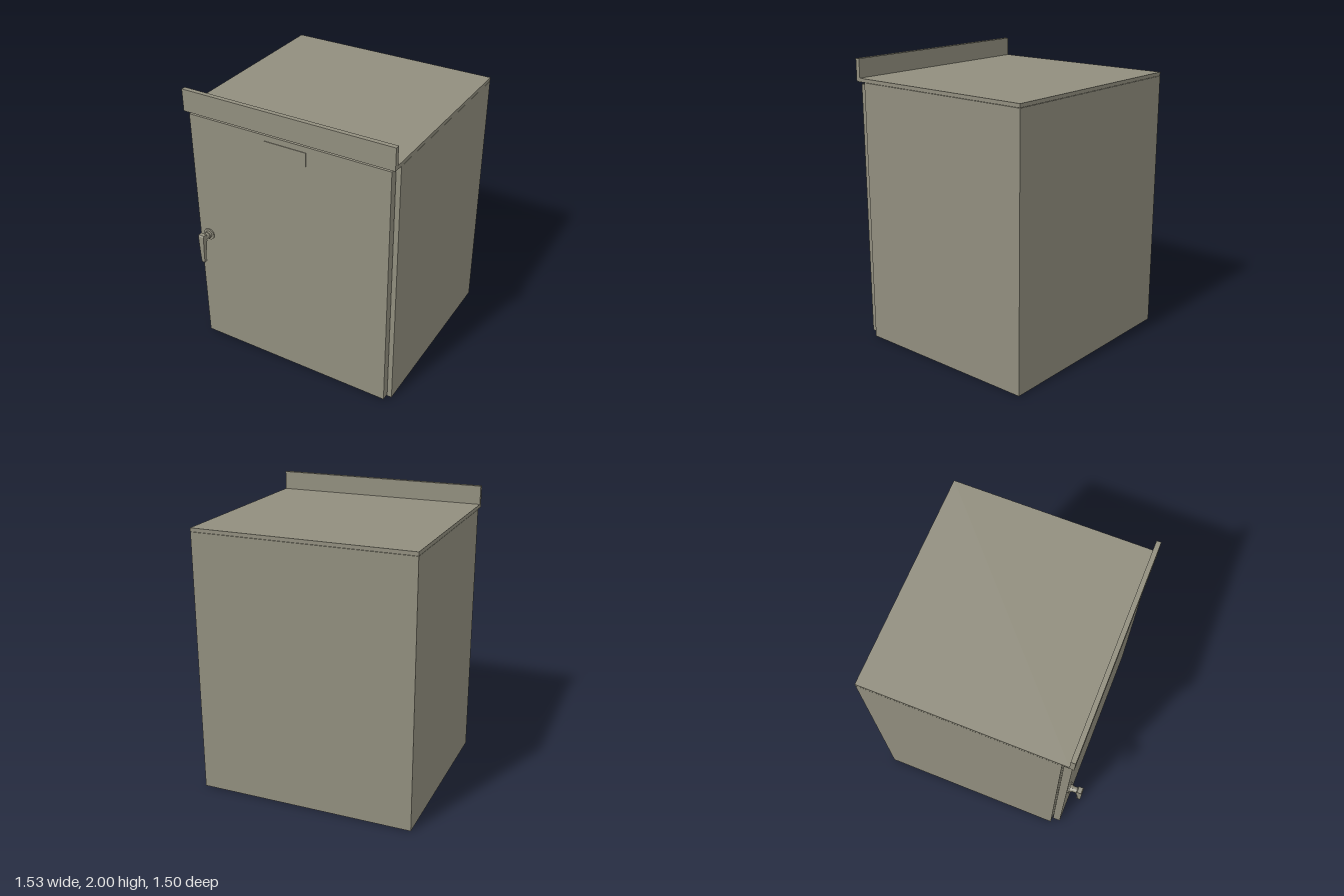
import * as THREE from 'three';

export function createModel() {
  const model = new THREE.Group();
  model.name = 'cabinet';
  const paint = new THREE.MeshStandardMaterial({ color: 0x918e7e });
  paint.name = 'greyPaint';

  function add(name, geometry, parent = model) {
    const mesh = new THREE.Mesh(geometry, paint);
    mesh.name = name;
    parent.add(mesh);
    return mesh;
  }

  // Box given by its minimum and maximum corners
  function box(name, [x0, y0, z0], [x1, y1, z1]) {
    const mesh = add(name, new THREE.BoxGeometry(x1 - x0, y1 - y0, z1 - z0));
    mesh.position.set((x0 + x1) / 2, (y0 + y1) / 2, (z0 + z1) / 2);
  }

  // Side profile of [z, y] points, extruded across x and centred
  function sideExtrude(points, width) {
    const shape = new THREE.Shape(points.map(([z, y]) => new THREE.Vector2(z, y)));
    const geometry = new THREE.ExtrudeGeometry(shape, { depth: width, bevelEnabled: false });
    return geometry.translate(0, 0, -width / 2).rotateY(-Math.PI / 2);
  }

  // Cylinder pointing forward between two depths
  function rod(name, radius, z0, z1, parent) {
    const geometry = new THREE.CylinderGeometry(radius, radius, z1 - z0, 32).rotateX(Math.PI / 2);
    add(name, geometry, parent).position.z = (z0 + z1) / 2;
  }

  // Housing and door, with a narrow seam between them
  box('body', [-0.765, 0, -0.75], [0.765, 1.843, 0.593]);
  box('doorGasket', [-0.715, 0.04, 0.593], [0.715, 1.805, 0.6]);
  box('door', [-0.735, 0.02, 0.6], [0.735, 1.826, 0.655]);
  box('namePlate', [-0.155, 1.692, 0.655], [0.15, 1.786, 0.659]);

  // Roof sheet with upturned front lip
  add('roof', sideExtrude([
    [-0.75, 1.845], [0.67, 1.845], [0.67, 2], [0.638, 2], [0.638, 1.87], [-0.75, 1.87],
  ], 1.53));

  // Turn handle: rosette, spindle and tapered lever
  const handle = new THREE.Group();
  handle.name = 'handle';
  handle.position.set(-0.66, 0.913, 0);
  model.add(handle);
  rod('rosette', 0.042, 0.655, 0.663, handle);
  rod('spindleCollar', 0.026, 0.663, 0.68, handle);
  rod('spindle', 0.021, 0.68, 0.72, handle);

  const lever = sideExtrude([
    [0.718, 0.037], [0.712, 0.028], [0.712, -0.018], [0.72, -0.06], [0.731, -0.165],
    [0.722, -0.178], [0.722, -0.185], [0.75, -0.185], [0.752, -0.1], [0.752, 0.028], [0.746, 0.037],
  ], 0.044);
  const p = lever.attributes.position;
  for (let i = 0; i < p.count; i++) {
    const t = THREE.MathUtils.clamp((0.02 - p.getY(i)) / 0.2, 0, 1);
    p.setX(i, p.getX(i) * (1 - 0.4 * t));
  }
  lever.computeVertexNormals();
  add('lever', lever, handle);

  return model;
}
